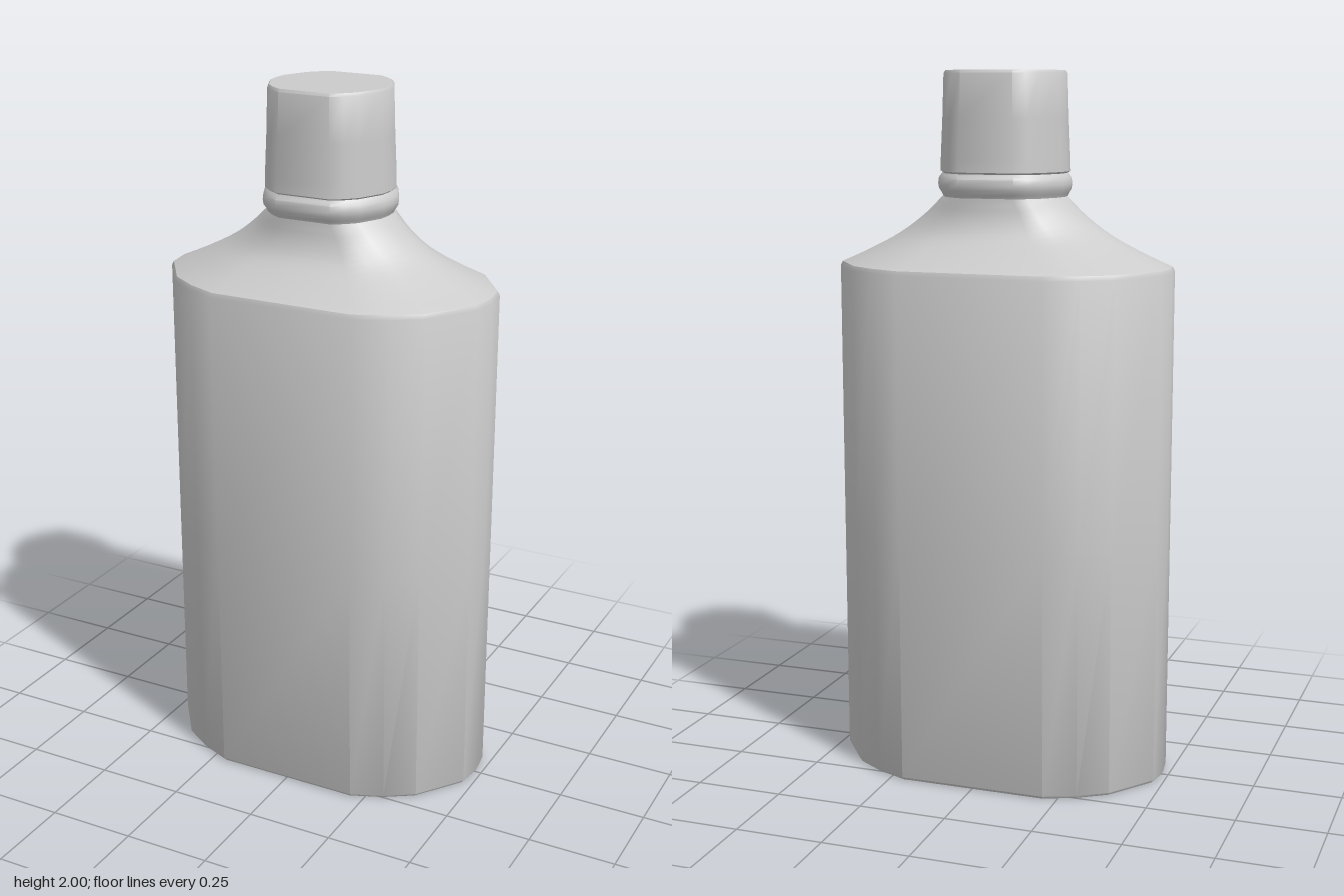
import * as THREE from 'three';
import { toCreasedNormals } from 'three/addons/utils/BufferGeometryUtils.js';

// Flat-fronted oval outline, one quarter, as fractions of half width and half depth
const quarter = [[1, 0], [0.978, 0.25], [0.784, 0.695], [0.62, 0.872], [0.435, 1]];
const back = quarter.slice(1).reverse();
const outline = [
  ...quarter,
  ...back.map(([x, z]) => [-x, z]),
  [-1, 0],
  ...quarter.slice(1).map(([x, z]) => [-x, -z]),
  ...back.map(([x, z]) => [x, -z]),
];

// Skins the outline through rings of [half width, y, half depth], bottom to top
function loft(name, rings, { bottom = false, top = false } = {}) {
  const n = outline.length, pos = [], idx = [];
  for (const [hx, y, hz] of rings) for (const [x, z] of outline) pos.push(x * hx, y, z * hz);
  for (let j = 0; j < rings.length - 1; j++) {
    for (let i = 0; i < n; i++) {
      const a = j * n + i, b = j * n + (i + 1) % n;
      idx.push(a, a + n, b, b, a + n, b + n);
    }
  }
  const close = (ring, up) => {
    const c = pos.length / 3;
    pos.push(0, rings[ring][1], 0);
    for (let i = 0; i < n; i++) {
      const a = ring * n + i, b = ring * n + (i + 1) % n;
      idx.push(c, up ? b : a, up ? a : b);
    }
  };
  if (bottom) close(0, false);
  if (top) close(rings.length - 1, true);
  const geo = new THREE.BufferGeometry();
  geo.setAttribute('position', new THREE.Float32BufferAttribute(pos, 3));
  geo.setIndex(idx);
  const mesh = new THREE.Mesh(
    toCreasedNormals(geo, 0.7),
    new THREE.MeshStandardMaterial({ color: 0xcccccc, side: THREE.DoubleSide }),
  );
  mesh.name = name;
  return mesh;
}

export function createModel() {
  const bottle = new THREE.Group();
  bottle.name = 'bottle';

  // Body, slightly deeper towards the top
  bottle.add(loft('body', [
    [0.479, 0, 0.284], [0.485, 0.008, 0.29], [0.485, 0.7, 0.297], [0.485, 1.452, 0.301], [0.479, 1.464, 0.296],
  ], { bottom: true }));

  // Shoulder, sweeping in to the neck
  const sweep = new THREE.CatmullRomCurve3([
    [0.479, 1.464, 0.296], [0.395, 1.502, 0.235], [0.305, 1.55, 0.178],
    [0.235, 1.6, 0.158], [0.175, 1.655, 0.156],
  ].map((p) => new THREE.Vector3(...p)));
  bottle.add(loft('shoulder', sweep.getPoints(14).map((p) => p.toArray())));

  // Beaded ring between neck and cap
  bottle.add(loft('collar', [
    [0.175, 1.655, 0.156], [0.179, 1.664, 0.16], [0.187, 1.676, 0.168], [0.189, 1.69, 0.17],
    [0.187, 1.706, 0.168], [0.18, 1.715, 0.161], [0.176, 1.72, 0.158],
  ]));

  // Tapered cap
  bottle.add(loft('cap', [
    [0.176, 1.72, 0.158], [0.182, 1.725, 0.166], [0.181, 1.76, 0.165], [0.176, 1.87, 0.16],
    [0.172, 1.992, 0.157], [0.167, 2, 0.152],
  ], { top: true }));

  return bottle;
}
